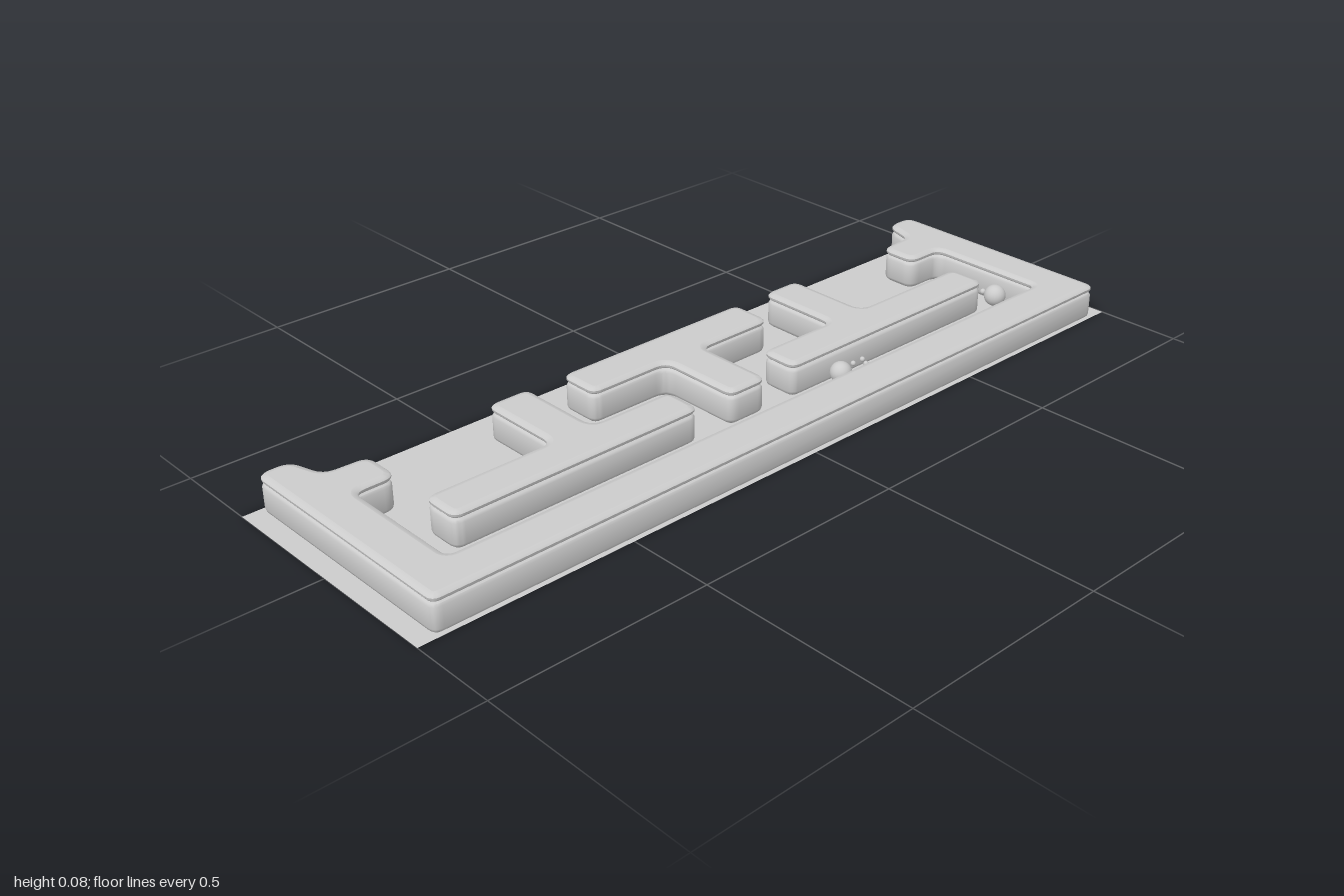
import * as THREE from 'three';
import { toCreasedNormals } from 'three/addons/utils/BufferGeometryUtils.js';

const material = new THREE.MeshStandardMaterial({ color: 0xcccccc, side: THREE.DoubleSide });

// Wall section from floor to top: [inset from outline, height]
const SECTION = [
  [0.008, 0], [0.002, 0.005], [0, 0.011], [0, 0.058], [0.003, 0.063], [0.01, 0.066],
  [0.01, 0.0675], [0.003, 0.069], [0, 0.073], [0, 0.077], [0.004, 0.081], [0.014, 0.083],
];

// Rounded outline from [x, z, radius] corners, returned counter-clockwise in (x, -z)
function outline(corners) {
  const shape = new THREE.Shape();
  const n = corners.length;
  corners.forEach(([x, z, r], i) => {
    const c = new THREE.Vector2(x, -z);
    const towards = ([px, pz]) => new THREE.Vector2(px, -pz).sub(c).normalize().multiplyScalar(r).add(c);
    const a = towards(corners[(i + n - 1) % n]);
    const b = towards(corners[(i + 1) % n]);
    if (i === 0) shape.moveTo(a.x, a.y); else shape.lineTo(a.x, a.y);
    shape.quadraticCurveTo(c.x, c.y, b.x, b.y);
  });
  const pts = shape.getPoints(6);
  const clean = pts.filter((p, i) => p.distanceTo(pts[(i + 1) % pts.length]) > 1e-5);
  return THREE.ShapeUtils.isClockWise(clean) ? clean.reverse() : clean;
}

// Move a closed outline inwards by d, mitring at each point
function inset(pts, d) {
  const n = pts.length;
  return pts.map((p, i) => {
    const e1 = p.clone().sub(pts[(i + n - 1) % n]).normalize();
    const e2 = pts[(i + 1) % n].clone().sub(p).normalize();
    const m = new THREE.Vector2(-e1.y - e2.y, e1.x + e2.x).normalize();
    const k = Math.max(0.5, -m.x * e1.y + m.y * e1.x);
    return p.clone().addScaledVector(m, d / k);
  });
}

// Hollow wall with a grooved, soft-edged cap and an open underside
function wall(name, pts) {
  const group = new THREE.Group();
  group.name = name;
  const n = pts.length;
  const pos = [];
  const index = [];
  SECTION.forEach(([d, y], j) => {
    inset(pts, d).forEach((p, i) => {
      pos.push(p.x, y, -p.y);
      if (j === 0) return;
      const a = (j - 1) * n + i, b = (j - 1) * n + (i + 1) % n;
      index.push(a, b, b + n, a, b + n, a + n);
    });
  });
  const sides = new THREE.BufferGeometry();
  sides.setAttribute('position', new THREE.Float32BufferAttribute(pos, 3));
  sides.setIndex(index);
  const sideMesh = new THREE.Mesh(toCreasedNormals(sides, 0.75), material);
  sideMesh.name = name + 'Sides';

  const [topInset, topY] = SECTION[SECTION.length - 1];
  const top = new THREE.ShapeGeometry(new THREE.Shape(inset(pts, topInset)));
  top.rotateX(-Math.PI / 2).translate(0, topY, 0);
  const topMesh = new THREE.Mesh(top, material);
  topMesh.name = name + 'Top';
  group.add(sideMesh, topMesh);
  return group;
}

// T outline: bar between x0 and x1, stem between s0 and s1 running to stemEnd
function tee(x0, x1, barNear, barFar, s0, s1, stemEnd) {
  return outline([
    [x0, barFar, 0.025], [x1, barFar, 0.025], [x1, barNear, 0.025], [s1, barNear, 0.03],
    [s1, stemEnd, 0.025], [s0, stemEnd, 0.025], [s0, barNear, 0.03], [x0, barNear, 0.025],
  ]);
}

export function createModel() {
  const model = new THREE.Group();
  model.name = 'mazeTile';

  // Surrounding U-shaped wall: one half, then mirrored
  const half = [
    [0.96, 0.293, 0.022], [0.96, -0.295, 0.03], [0.885, -0.295, 0.03], [0.86, -0.21, 0.025],
    [0.76, -0.205, 0.03], [0.76, -0.108, 0.03], [0.857, -0.108, 0.025], [0.857, 0.195, 0.02],
  ];
  const mirrored = half.map(([x, z, r]) => [-x, z, r]).reverse();

  const walls = {
    outerWall: outline([...half, ...mirrored]),
    rightTeeWall: tee(-0.77, -0.145, 0, 0.095, -0.46, -0.355, -0.215),
    middleTeeWall: tee(-0.26, 0.26, -0.11, -0.215, -0.053, 0.053, 0.095),
    leftTeeWall: tee(0.135, 0.785, 0, 0.095, 0.355, 0.457, -0.215),
  };

  // Floor sheet, open beneath each wall
  const floorShape = new THREE.Shape([[-1, -0.297], [1, -0.297], [1, 0.297], [-1, 0.297]]
    .map(([x, y]) => new THREE.Vector2(x, y)));
  for (const [name, pts] of Object.entries(walls)) {
    model.add(wall(name, pts));
    floorShape.holes.push(new THREE.Path(inset(pts, SECTION[0][0])));
  }
  const floor = new THREE.Mesh(new THREE.ShapeGeometry(floorShape).rotateX(-Math.PI / 2), material);
  floor.name = 'floor';
  model.add(floor);

  // Loose pellets in the corridor: [x, y, z, radius]
  const pellets = [
    [0.79, 0.055, 0.13, 0.026], [0.23, 0.052, 0.15, 0.025], [0.15, 0.03, 0.15, 0.009],
    [0.292, 0.045, 0.13, 0.006], [0.322, 0.045, 0.13, 0.006], [0.312, 0.045, 0.15, 0.006],
    [0.332, 0.045, 0.175, 0.006], [0.807, 0.05, 0.06, 0.006], [0.795, 0.05, 0.09, 0.007],
    [0.823, 0.05, 0.094, 0.006],
  ];
  pellets.forEach(([x, y, z, r], i) => {
    const pellet = new THREE.Mesh(new THREE.SphereGeometry(r, 20, 14), material);
    pellet.name = 'pellet' + (i + 1);
    pellet.position.set(x, y, z);
    model.add(pellet);
  });

  return model;
}
